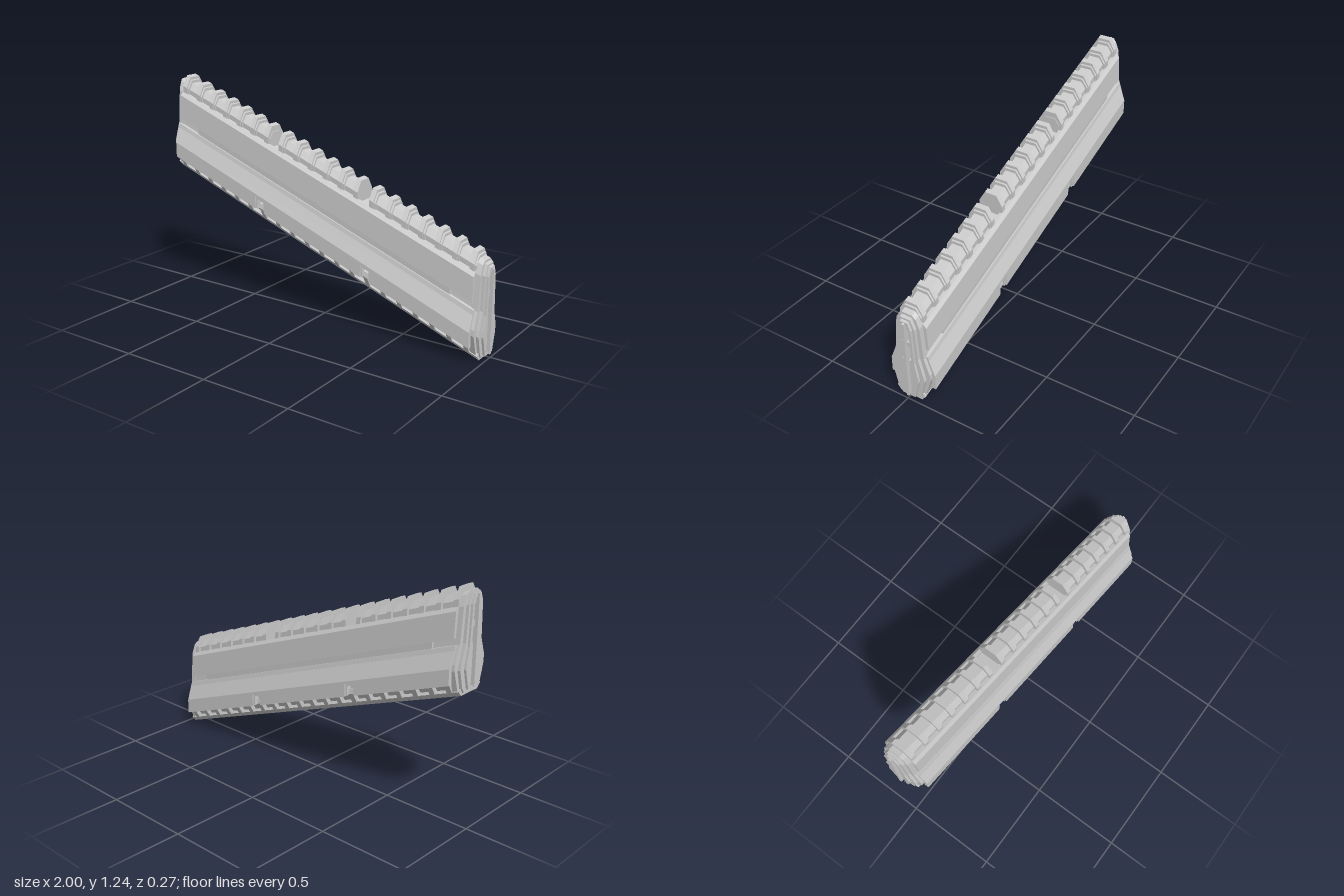
import * as THREE from 'three';

const SLOPE = 0.372; // drop in y per unit of x

export function createModel() {
  const model = new THREE.Group();
  model.name = 'slopedBarrier';
  const material = new THREE.MeshStandardMaterial({ color: 0xcccccc, flatShading: true });

  // Extrudes a [z, height] outline from x0 to x1, then shears it down the slope.
  function prism(name, outline, x0, x1, hole) {
    const toShape = (pts, Type) => new Type(pts.map(([z, v]) => new THREE.Vector2(-z, v)));
    const shape = toShape(outline, THREE.Shape);
    if (hole) shape.holes.push(toShape(hole, THREE.Path));
    const geo = new THREE.ExtrudeGeometry(shape, { depth: x1 - x0, bevelEnabled: false });
    geo.rotateY(Math.PI / 2);
    geo.translate(x0, 0, 0);
    const p = geo.attributes.position;
    for (let i = 0; i < p.count; i++) p.setY(i, p.getY(i) - SLOPE * p.getX(i));
    geo.computeVertexNormals();
    const mesh = new THREE.Mesh(geo, material);
    mesh.name = name;
    model.add(mesh);
  }
  const mirror = (half) => [...half, ...half.map(([z, v]) => [-z, v]).reverse()];
  const rect = (z0, z1, v0, v1) => [[z0, v0], [z1, v0], [z1, v1], [z0, v1]];

  // Central core and bottom rail
  prism('core', mirror([[0.06, 0.38], [0.07, 0.4], [0.095, 0.44], [0.1, 0.5], [0.08, 0.62],
    [0.065, 0.785]]), -0.95, 0.95);
  prism('bottomRail', mirror([[0.065, 0.362], [0.088, 0.388], [0.08, 0.4]]), -0.97, 0.97);

  // Top spine in three lengths, with a notch between each
  const spine = mirror([[0.055, 0.77], [0.055, 0.83], [0.03, 0.865]]);
  const topRib = mirror([[0.07, 0.77], [0.07, 0.838], [0.035, 0.895]]);
  const ribCollar = mirror([[0.064, 0.77], [0.064, 0.834], [0.033, 0.88]]);
  for (const [a, b] of [[-0.96, -0.325], [-0.255, 0.25], [0.322, 0.96]]) prism('topSpine', spine, a, b);

  // Evenly spaced ribs above and below the side panels
  for (let i = 0; i < 20; i++) {
    const x = -0.92 + i * 0.0965;
    prism('topRib', topRib, x - 0.013, x + 0.013);
    if (i !== 6 && i !== 12) prism('ribCollar', ribCollar, x + 0.01, x + 0.022);
    for (const s of [1, -1]) {
      const low = [[0.06, 0.375], [0.088, 0.385], [0.12, 0.442], [0.115, 0.47], [0.08, 0.47]];
      prism('lowerRib', low.map(([z, v]) => [z * s, v]), x - 0.014, x + 0.014);
    }
  }

  // Side panels, with a groove along the middle and two notches in the lower edge
  for (const s of [1, -1]) {
    const side = (name, pts, a, b) => prism(name, pts.map(([z, v]) => [z * s, v]), a, b);
    side('upperPanel', [[0.06, 0.655], [0.097, 0.655], [0.09, 0.785], [0.075, 0.803], [0.055, 0.803]],
      -0.935, 0.935);
    side('grooveStrip', rect(0.06, 0.091, 0.615, 0.66), -0.81, 0.81);
    side('lowerPanel', [[0.115, 0.503], [0.135, 0.503], [0.135, 0.517], [0.103, 0.598],
      [0.098, 0.622], [0.07, 0.622], [0.085, 0.59]], -0.945, 0.945);
    for (const [a, b] of [[-0.945, -0.372], [-0.312, 0.312], [0.372, 0.945]]) {
      side('lowerPanelSkirt', rect(0.113, 0.135, 0.434, 0.503), a, b);
    }
    for (const x of [-0.342, 0.342]) {
      side('notchHeader', rect(0.09, 0.128, 0.49, 0.505), x - 0.03, x + 0.03);
      for (const d of [-0.025, 0.025]) {
        side('notchPost', rect(0.09, 0.128, 0.436, 0.5), x + d - 0.005, x + d + 0.005);
      }
    }
  }

  // Stepped end caps with a slot and a vertical rod
  const outer = mirror([[0.065, 0.364], [0.085, 0.39], [0.118, 0.5], [0.116, 0.53], [0.085, 0.62],
    [0.07, 0.8], [0.05, 0.85], [0.03, 0.867]]);
  const middle = mirror([[0.055, 0.375], [0.07, 0.395], [0.094, 0.495], [0.088, 0.525],
    [0.062, 0.62], [0.052, 0.8], [0.03, 0.855]]);
  const inner = mirror([[0.04, 0.386], [0.066, 0.49], [0.062, 0.52], [0.046, 0.6], [0.038, 0.8], [0.022, 0.845]]);
  const slot = mirror([[0.028, 0.4], [0.03, 0.6], [0.025, 0.79], [0.014, 0.825]]);
  for (const s of [1, -1]) {
    const end = (name, pts, a, b, hole) => prism(name, pts, Math.min(a * s, b * s), Math.max(a * s, b * s), hole);
    end('endFrame', outer, 0.93, 0.962);
    end('endStep', middle, 0.955, 0.978, slot);
    end('endRim', inner, 0.97, 0.99, slot);
    end('endRod', rect(-0.007, 0.007, 0.39, 0.84), 0.96, 1);
    for (const z of [-0.02, 0.02]) end('slotBar', rect(z - 0.006, z + 0.006, 0.395, 0.61), 0.96, 0.985);
    for (const v of [0.69, 0.8]) end('slotBlock', rect(-0.027, 0.027, v, v + 0.03), 0.96, 0.984);
  }
  return model;
}
